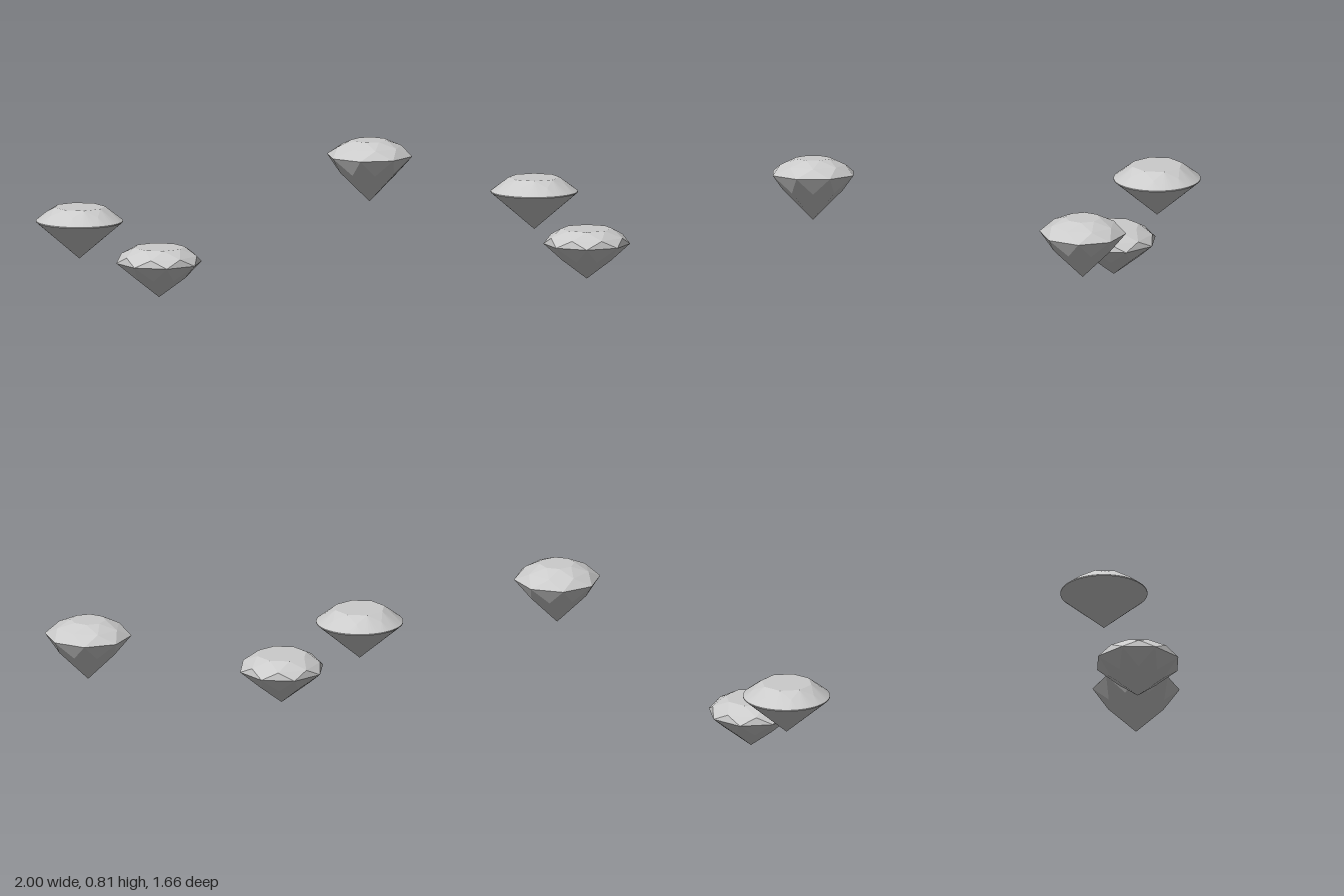
import * as THREE from 'three';
import { ConvexGeometry } from 'three/addons/geometries/ConvexGeometry.js';

const material = new THREE.MeshStandardMaterial({ color: 0xcccccc, flatShading: true });
const HALF = Math.PI / 8; // half a step of an eight-fold cut

// One ring of cut corners: [radius, height, corner count, start angle]
function ring([radius, y, count = 8, start = 0]) {
  return Array.from({ length: count }, (_, i) => {
    const a = start + (i / count) * Math.PI * 2;
    return new THREE.Vector3(radius * Math.cos(a), y, radius * Math.sin(a));
  });
}

// A cut stone is the convex hull of its corner rings and its bottom point
function gem(name, x, z, tipY, rings) {
  const points = [new THREE.Vector3(0, tipY, 0), ...rings.flatMap(ring)];
  const mesh = new THREE.Mesh(new ConvexGeometry(points), material);
  mesh.name = name;
  mesh.position.set(x, 0, z);
  return mesh;
}

export function createModel() {
  const group = new THREE.Group();
  group.name = 'gems';

  // Rings run from the table down through crown, girdle and pavilion
  group.add(
    gem('octagonalGem', 0.745, -0.575, 0.44, [
      [0.103, 0.805],
      [0.19, 0.768, 8, HALF],
      [0.255, 0.715],
      [0.175, 0.615, 8, HALF],
    ]),
    gem('roundGem', -0.745, 0.573, 0.238, [
      [0.15, 0.545, 8, HALF],
      [0.2, 0.508],
      [0.255, 0.464, 64],
      [0.255, 0.458, 64],
    ]),
    gem('brilliantGem', -0.3, 0.425, 0, [
      [0.15, 0.297, 8, HALF],
      [0.226, 0.252],
      [0.254, 0.207, 8, HALF],
      [0.155, 0.117],
    ]),
  );
  return group;
}
